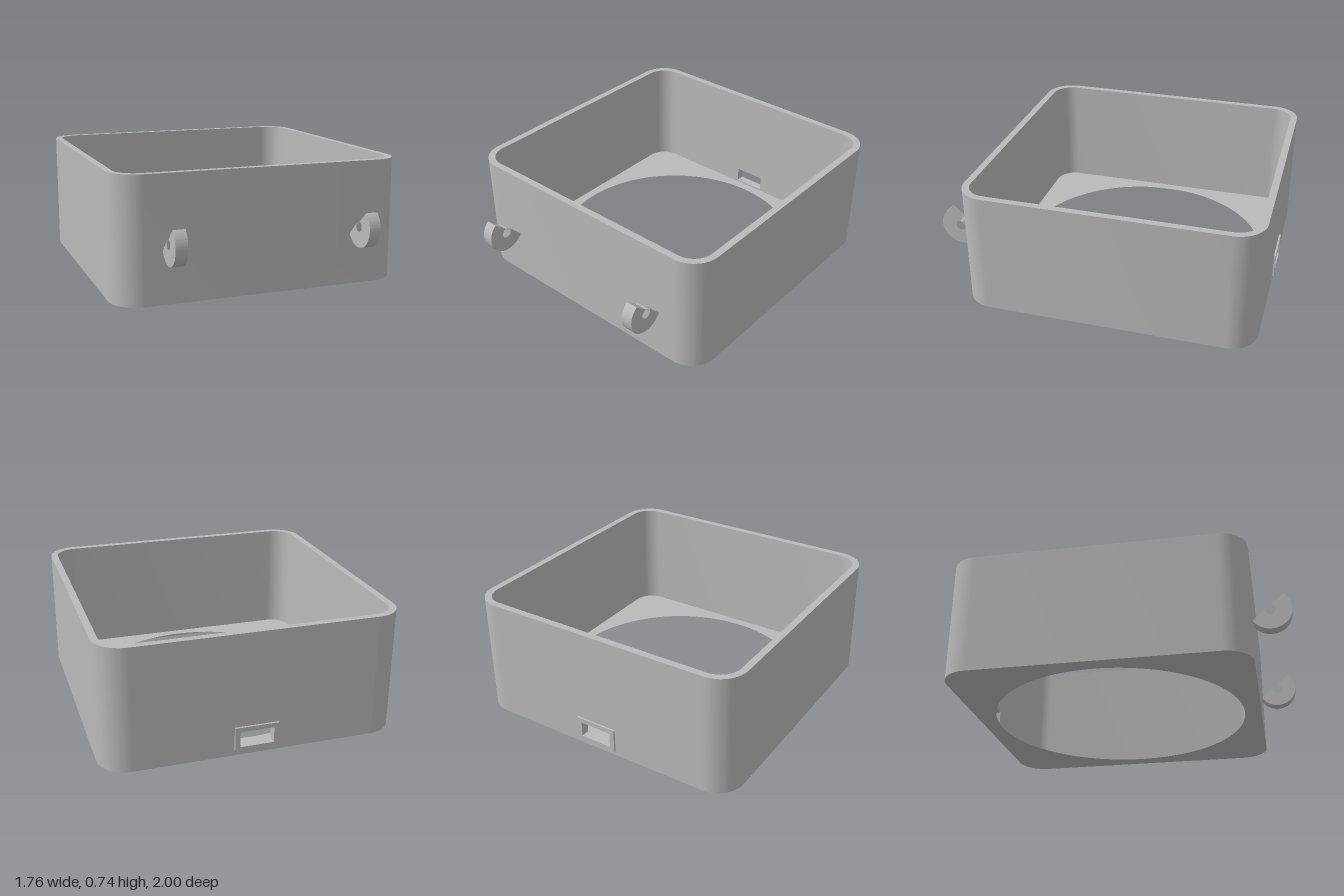
import * as THREE from 'three';
import { toCreasedNormals } from 'three/addons/utils/BufferGeometryUtils.js';

const HALF = 0.881, R = 0.17, WALL = 0.042, HEIGHT = 0.737, FLOOR = 0.04;
const CZ = -0.107;            // centre of the box in z
const C = HALF - R;           // corner centre offset
const PI = Math.PI;

const grey = new THREE.MeshStandardMaterial({ color: 0xbababa });
grey.name = 'grey plastic';

function extrude(shape, depth, curveSegments) {
  const g = new THREE.ExtrudeGeometry(shape, { depth, bevelEnabled: false, curveSegments });
  return toCreasedNormals(g, 0.5);
}

function part(name, geometry) {
  const m = new THREE.Mesh(geometry, grey);
  m.name = name;
  return m;
}

function circleHole(x, y, r) {
  return new THREE.Path().absarc(x, y, r, 0, 2 * PI, true);
}

// Rectangle with a smaller rectangular opening
function rectShape(x, y0, y1, hx, h0, h1) {
  const s = new THREE.Shape();
  s.moveTo(-x, y0).lineTo(x, y0).lineTo(x, y1).lineTo(-x, y1).closePath();
  const h = new THREE.Path();
  h.moveTo(-hx, h0).lineTo(-hx, h1).lineTo(hx, h1).lineTo(hx, h0).closePath();
  s.holes.push(h);
  return s;
}

export function createModel() {
  const model = new THREE.Group();
  model.name = 'openHousing';

  // Corner centres with the start angle of each arc, clockwise from the back
  const corners = [[C, C, PI / 2], [C, -C, 0], [-C, -C, -PI / 2], [-C, C, PI]];

  // Front, sides and all four rounded corners as one U-shaped wall
  const u = new THREE.Shape();
  u.moveTo(C, HALF);
  for (const [x, y, a] of corners) u.absarc(x, y, R, a, a - PI / 2, true);
  for (const [x, y, a] of [...corners].reverse()) u.absarc(x, y, R - WALL, a - PI / 2, a, false);
  u.closePath();
  const walls = part('walls', extrude(u, HEIGHT, 16).rotateX(-PI / 2));
  walls.position.z = CZ;
  model.add(walls);

  // Back wall with the port opening
  const back = part('backWall', extrude(rectShape(C, 0, HEIGHT, 0.1, 0.053, 0.147), WALL, 1));
  back.position.z = CZ - HALF;
  model.add(back);

  // Thin raised frame around the port
  const frame = part('portFrame', extrude(rectShape(0.13, 0.025, 0.175, 0.1, 0.053, 0.147), 0.012, 1));
  frame.position.z = -1;
  model.add(frame);

  // Floor with the large round opening
  const f = new THREE.Shape();
  f.moveTo(C, HALF - WALL);
  for (const [x, y, a] of corners) f.absarc(x, y, R - WALL, a, a - PI / 2, true);
  f.closePath();
  f.holes.push(circleHole(0, 0, 0.78));
  const floor = part('floor', extrude(f, FLOOR, 64).rotateX(-PI / 2));
  floor.position.z = CZ;
  model.add(floor);

  // Hinge lugs: a rounded ear with a straight upper edge and a pin hole
  const front = CZ + HALF - 0.002, lz = 0.877, ly = 0.37, lr = 0.123;
  const dz = front - lz;
  const tangent = Math.atan2(0.613 - ly, dz) - Math.acos(lr / Math.hypot(dz, 0.613 - ly));
  const lower = -PI + Math.acos(-dz / lr);
  const s = new THREE.Shape();
  s.moveTo(front, 0.613);
  s.absarc(lz, ly, lr, tangent, lower, true);
  s.closePath();
  s.holes.push(circleHole(lz, ly, 0.031));
  const lugGeometry = extrude(s, 0.07, 32).translate(0, 0, -0.035).rotateY(-PI / 2);
  for (const [name, x] of [['leftLug', 0.575], ['rightLug', -0.575]]) {
    const lug = part(name, lugGeometry);
    lug.position.x = x;
    model.add(lug);
  }
  return model;
}
